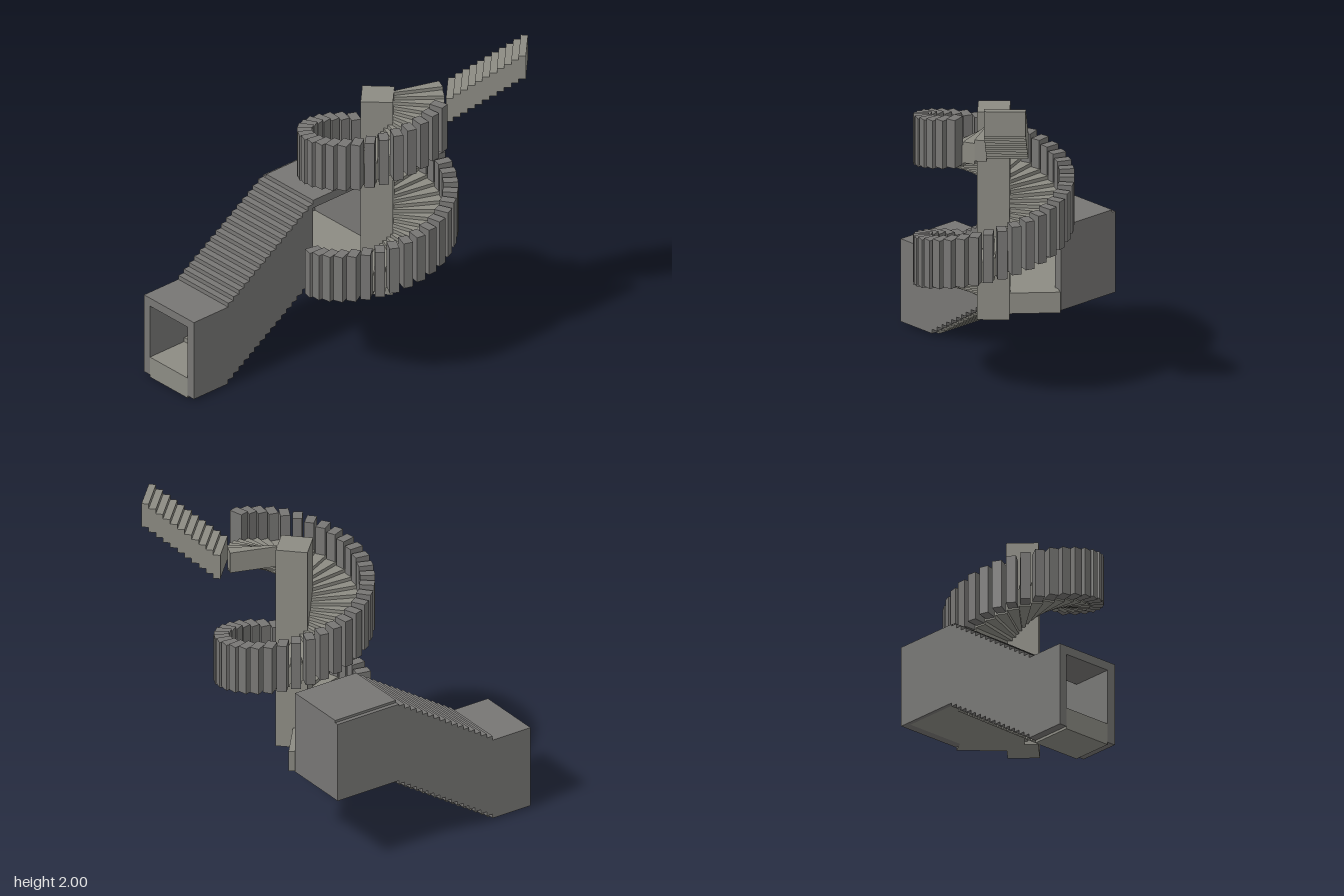
import * as THREE from 'three';

const stone = new THREE.MeshStandardMaterial({ color: 0x8c8b83, flatShading: true });
const darkStone = new THREE.MeshStandardMaterial({ color: 0x777674, flatShading: true });
const CX = 0.06, CZ = -0.185;               // axis of the spiral
const STEP = THREE.MathUtils.degToRad(10.37);
const RISE = 0.0209, FIRST = THREE.MathUtils.degToRad(-43.6);

function add(parent, name, geometry, material = stone) {
  const mesh = new THREE.Mesh(geometry, material);
  mesh.name = name;
  parent.add(mesh);
  return mesh;
}

// Box given by its minimum and maximum on each axis
function span(parent, name, x0, x1, y0, y1, z0, z1, material) {
  const mesh = add(parent, name, new THREE.BoxGeometry(x1 - x0, y1 - y0, z1 - z0), material);
  mesh.position.set((x0 + x1) / 2, (y0 + y1) / 2, (z0 + z1) / 2);
}

// Pie slice around the spiral axis; angle 0 points to +z and grows toward +x
function wedge(parent, name, a0, a1, radius, y0, y1, segments = 1) {
  const shape = new THREE.Shape();
  shape.moveTo(0, 0);
  for (let i = 0; i <= segments; i++) {
    const a = a0 + (a1 - a0) * i / segments;
    shape.lineTo(radius * Math.sin(a), -radius * Math.cos(a));
  }
  const g = new THREE.ExtrudeGeometry(shape, { depth: y1 - y0, bevelEnabled: false });
  g.rotateX(-Math.PI / 2);
  add(parent, name, g).position.set(CX, y0, CZ);
}

// One slice of the covered passage: floor, two walls and roof
function passageSlice(parent, z0, z1, y) {
  span(parent, 'passageFloor', -0.625, -0.31, y, y + 0.13, z0, z1);
  span(parent, 'passageWall', -0.675, -0.625, y + 0.015, y + 0.515, z0, z1, darkStone);
  span(parent, 'passageWall', -0.31, -0.255, y + 0.015, y + 0.515, z0, z1, darkStone);
  span(parent, 'passageRoof', -0.625, -0.31, y + 0.463, y + 0.515, z0, z1, darkStone);
}

function coveredStair() {
  const g = new THREE.Group();
  g.name = 'coveredStair';
  passageSlice(g, 0.665, 0.925, 0);
  const n = 16, run = 0.645 / n;
  for (let i = 0; i < n; i++) {
    const z = 0.665 - run * i;
    passageSlice(g, z - run, z, 0.445 * (i + 1) / (n + 1));
  }
  // Upper landing, open toward the spiral
  span(g, 'landingFloor', -0.65, -0.255, 0.455, 0.58, -0.35, 0.02);
  span(g, 'landingRoof', -0.65, -0.255, 0.91, 0.96, -0.35, 0.02, darkStone);
  span(g, 'landingBackWall', -0.65, -0.255, 0.455, 0.96, -0.4, -0.35, darkStone);
  span(g, 'landingSideWall', -0.675, -0.65, 0.455, 0.945, -0.4, 0.02, darkStone);
  return g;
}

function spiralStair() {
  const g = new THREE.Group();
  g.name = 'spiralStair';
  const column = add(g, 'column', new THREE.BoxGeometry(0.182, 1.255, 0.182));
  column.position.set(CX, 1.0825, CZ);
  column.rotation.y = Math.PI / 4;

  // Wide slice joining the column to the landing
  wedge(g, 'entryPlatform', THREE.MathUtils.degToRad(-130), FIRST - STEP / 2, 0.375, 0.455, 0.58, 4);

  // The last step meets the top flight
  for (let i = 0; i < 55; i++) {
    const a = FIRST + STEP * i, top = 0.58 + RISE * i;
    wedge(g, 'spiralStep', a - STEP / 2, a + STEP / 2, 0.378, top - 0.127, top);
    if (i < 3 || i > 49) continue;
    // Upright railing block on the outer end of the step
    const block = add(g, 'railingBlock', new THREE.BoxGeometry(0.056, 0.29, 0.085), darkStone);
    block.position.set(CX + 0.412 * Math.sin(a), top + 0.0275, CZ + 0.412 * Math.cos(a));
    block.rotation.y = a;
  }
  return g;
}

function topFlight() {
  const g = new THREE.Group();
  g.name = 'topFlight';
  g.position.set(0.27, 0, -0.523);
  g.rotation.y = 3 * Math.PI / 4;
  const n = 11, run = 0.451 / n;
  for (let i = 0; i < n; i++) {
    const top = 1.71 + 0.29 * i / (n - 1);
    span(g, 'flightStep', -0.118, 0.118, top - 0.15, top, run * i, run * (i + 1));
  }
  return g;
}

export function createModel() {
  const model = new THREE.Group();
  model.name = 'staircase';
  model.add(coveredStair(), spiralStair(), topFlight());
  return model;
}
